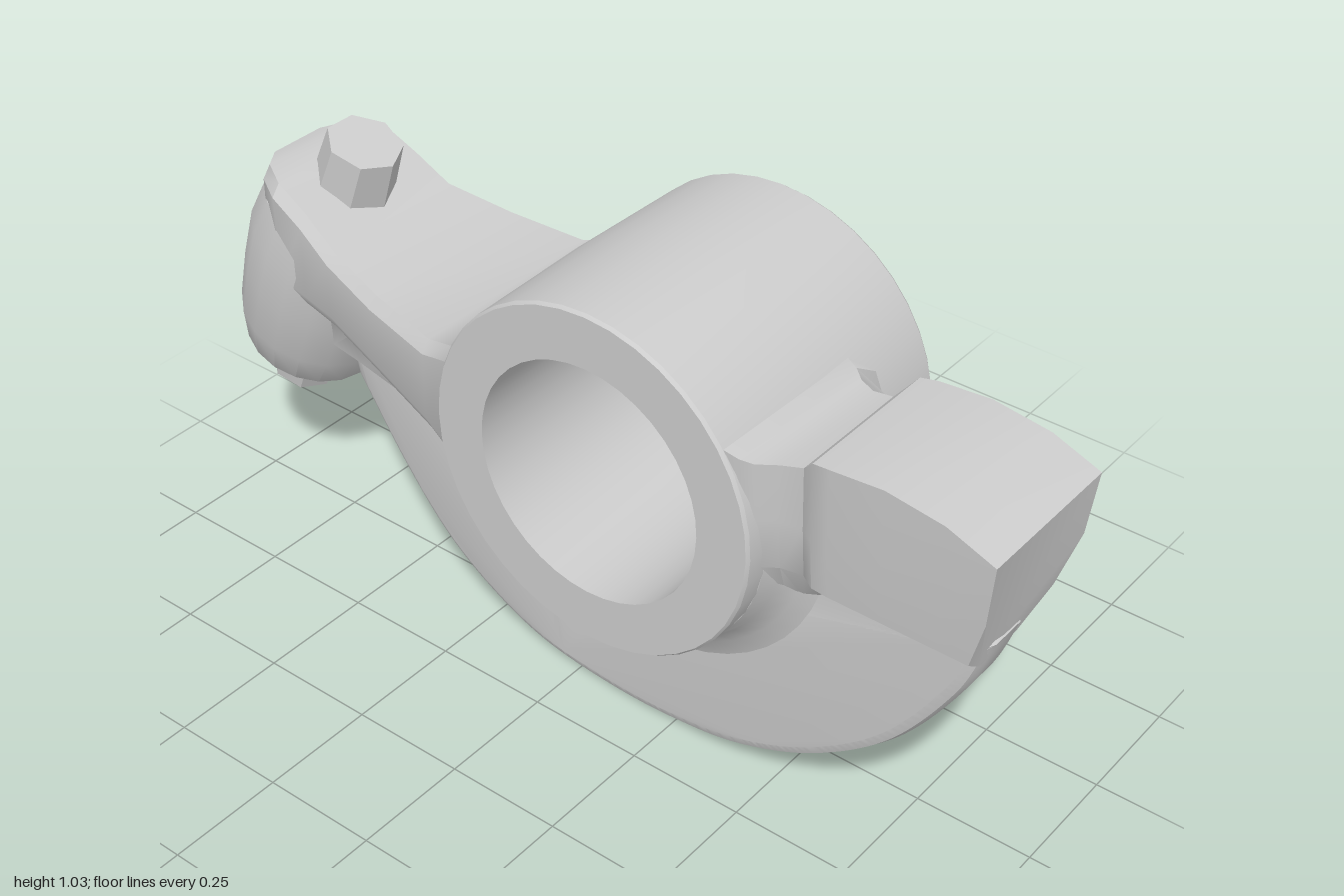
import * as THREE from 'three';
import { toCreasedNormals } from 'three/addons/utils/BufferGeometryUtils.js';

const HUB_Y = 0.657, HUB_Z = 0.17;
const material = new THREE.MeshStandardMaterial({ color: 0xcccccc });

// the web drifts sideways and thickens from front to back
const webX = (z) => -0.049 - 0.064 * z;
const webHalf = (z) => 0.076 - 0.012 * z;

function part(name, geometry, crease = 0.6) {
  const mesh = new THREE.Mesh(toCreasedNormals(geometry, crease), material);
  mesh.name = name;
  return mesh;
}

// skin over closed rings, counter-clockwise seen from +z, ordered front to back
function loft(rings) {
  const pos = [];
  const tri = (...pts) => pts.forEach((p) => pos.push(...p));
  const n = rings[0].length;
  for (let i = 0; i < rings.length - 1; i++) {
    for (let j = 0; j < n; j++) {
      const k = (j + 1) % n;
      const a = rings[i][j], b = rings[i][k], c = rings[i + 1][k], d = rings[i + 1][j];
      tri(a, c, b);
      tri(a, d, c);
    }
  }
  const first = rings[0], last = rings[rings.length - 1];
  for (let j = 1; j < n - 1; j++) {
    tri(first[0], first[j], first[j + 1]);
    tri(last[0], last[j + 1], last[j]);
  }
  const g = new THREE.BufferGeometry();
  g.setAttribute('position', new THREE.Float32BufferAttribute(pos, 3));
  return g;
}

const lathe = (pts, segments, start = 0, length = Math.PI * 2) =>
  new THREE.LatheGeometry(pts.map(([r, y]) => new THREE.Vector2(r, y)), segments, start, length);

// shift and scale x so that a part follows the web
function followWeb(g, half) {
  const p = g.attributes.position;
  for (let i = 0; i < p.count; i++) {
    const z = p.getZ(i);
    p.setX(i, webX(z) + p.getX(i) * webHalf(z) / half);
  }
  return g;
}

function makeHub() {
  const g = lathe([[0.252, 0.295], [0.252, -0.295], [0.36, -0.295], [0.365, -0.288],
    [0.37, 0], [0.365, 0.288], [0.36, 0.295], [0.252, 0.295]], 40);
  g.rotateZ(-Math.PI / 2).translate(0, HUB_Y, HUB_Z);
  return part('hub', g);
}

// concave collar blending the lower half of the hub into the web
function makeHubFillet() {
  const g = lathe([[0.34, -0.18], [0.366, -0.17], [0.38, -0.125], [0.41, -0.09], [0.45, -0.072],
    [0.45, 0.072], [0.41, 0.09], [0.38, 0.125], [0.366, 0.17], [0.34, 0.18]], 24, 0, Math.PI);
  g.rotateZ(-Math.PI / 2).translate(0, HUB_Y, HUB_Z);
  return part('hubFillet', followWeb(g, 0.074), 0.8);
}

// crescent web under the hub
function makeWeb() {
  const s = new THREE.Shape();
  s.moveTo(-0.955, 0.6);
  s.splineThru([[-0.9, 0.46], [-0.77, 0.27], [-0.6, 0.13], [-0.42, 0.045], [-0.25, 0.01], [-0.08, 0],
    [0.1, 0.015], [0.25, 0.07], [0.38, 0.155], [0.5, 0.285], [0.62, 0.45]]
    .map(([u, v]) => new THREE.Vector2(u, v)));
  s.lineTo(0.66, 0.62);
  s.lineTo(0.3, 0.62);
  s.absarc(-HUB_Z, HUB_Y, 0.34, 0, Math.PI, false);
  s.closePath();
  const hole = new THREE.Path();
  hole.absarc(-HUB_Z, HUB_Y, 0.28, 0, Math.PI * 2, true);
  s.holes.push(hole);
  const g = new THREE.ExtrudeGeometry(s, { depth: 0.12, curveSegments: 20, bevelEnabled: true,
    bevelThickness: 0.04, bevelSize: 0.025, bevelOffset: -0.025, bevelSegments: 2 });
  g.translate(0, 0, -0.06).rotateY(Math.PI / 2);
  return part('web', followWeb(g, 0.1));
}

// contact pad and the neck that flares into the hub
function makePad() {
  // z, top, bottom, left edge, right edge at the top, middle and low
  const stations = [[1, 0.86, 0.56, -0.265, 0.07, 0.06, 0.03], [0.9, 0.898, 0.56, -0.265, 0.07, 0.06, 0.03],
    [0.78, 0.914, 0.56, -0.265, 0.07, 0.06, 0.03], [0.67, 0.905, 0.55, -0.265, 0.07, 0.06, 0.04],
    [0.635, 0.9, 0.54, -0.262, 0.065, 0.06, 0.05], [0.605, 0.865, 0.53, -0.242, 0.03, 0.06, 0.06],
    [0.56, 0.855, 0.5, -0.25, 0.035, 0.1, 0.1], [0.525, 0.855, 0.47, -0.275, 0.05, 0.18, 0.19],
    [0.5, 0.86, 0.44, -0.285, 0.07, 0.275, 0.28], [0.45, 0.87, 0.42, -0.288, 0.09, 0.288, 0.285]];
  return part('contactPad', loft(stations.map(([z, top, bot, xl, xr, xm, xlow], i) => {
    const back = i === 0 ? [0.06, 0.042, 0.012] : [0, 0, 0];
    const c = webX(z), h = webHalf(z) * 0.95;
    return [
      [c - h, bot, z - back[0]], [c + h, bot, z - back[0]],
      [xlow, 0.62, z - back[1]], [xm, 0.73, z - back[2]], [xr, top, z],
      [xl, top, z], [xl + 0.007, 0.73, z - back[2]], [xl + 0.018, 0.62, z - back[1]],
    ];
  })), 0.6);
}

// tapering rear arm with a fillet down to the web, rising over the boss
function makeArm() {
  // z, top, bottom, left edge, right edge
  const stations = [[-0.1, 0.865, 0.46, -0.288, 0.288], [-0.155, 0.825, 0.485, -0.285, 0.288],
    [-0.2, 0.775, 0.515, -0.26, 0.278], [-0.28, 0.748, 0.545, -0.24, 0.265],
    [-0.45, 0.762, 0.585, -0.205, 0.24], [-0.6, 0.787, 0.61, -0.168, 0.215],
    [-0.68, 0.835, 0.62, -0.157, 0.207], [-0.76, 0.875, 0.63, -0.15, 0.2],
    [-0.82, 0.882, 0.66, -0.115, 0.165], [-0.862, 0.872, 0.7, -0.06, 0.11]];
  return part('rearArm', loft(stations.map(([z, top, bot, xl, xr]) => {
    const c = Math.min(webX(z), 0), h = Math.min(webHalf(z), (xr - xl) * 0.25);
    const l = c - h, r = c + h;
    return [
      [l, bot - 0.12, z], [r, bot - 0.12, z],
      [r + (xr - r) * 0.25, bot - 0.04, z], [xr - 0.015, bot, z], [xr, bot + 0.03, z],
      [xr, top - 0.025, z], [xr - 0.02, top, z], [xl + 0.02, top, z], [xl, top - 0.025, z],
      [xl, bot + 0.03, z], [xl + 0.015, bot, z], [l + (xl - l) * 0.25, bot - 0.04, z],
    ];
  })), 0.6);
}

// tilted boss holding the adjusting screw
function makeBoss() {
  const boss = new THREE.Group();
  boss.name = 'adjusterBoss';
  boss.add(part('bossBody', lathe([[0, -0.52], [0.09, -0.52], [0.145, -0.47], [0.17, -0.39],
    [0.182, -0.27], [0.188, -0.15], [0.175, -0.06], [0.13, -0.025], [0, -0.02]], 18)));
  const head = part('screwHead', new THREE.CylinderGeometry(0.08, 0.09, 0.16, 7), 0.3);
  head.position.y = 0.02;
  const tip = part('screwTip', new THREE.CylinderGeometry(0.085, 0.07, 0.12, 7), 0.3);
  tip.position.y = -0.52;
  boss.add(head, tip);
  boss.position.set(0.025, 0.84, -0.7);
  boss.rotation.x = 0.355;
  return boss;
}

export function createModel() {
  const model = new THREE.Group();
  model.name = 'rockerArm';
  model.add(makeHub(), makeHubFillet(), makeWeb(), makePad(), makeArm(), makeBoss());
  return model;
}
